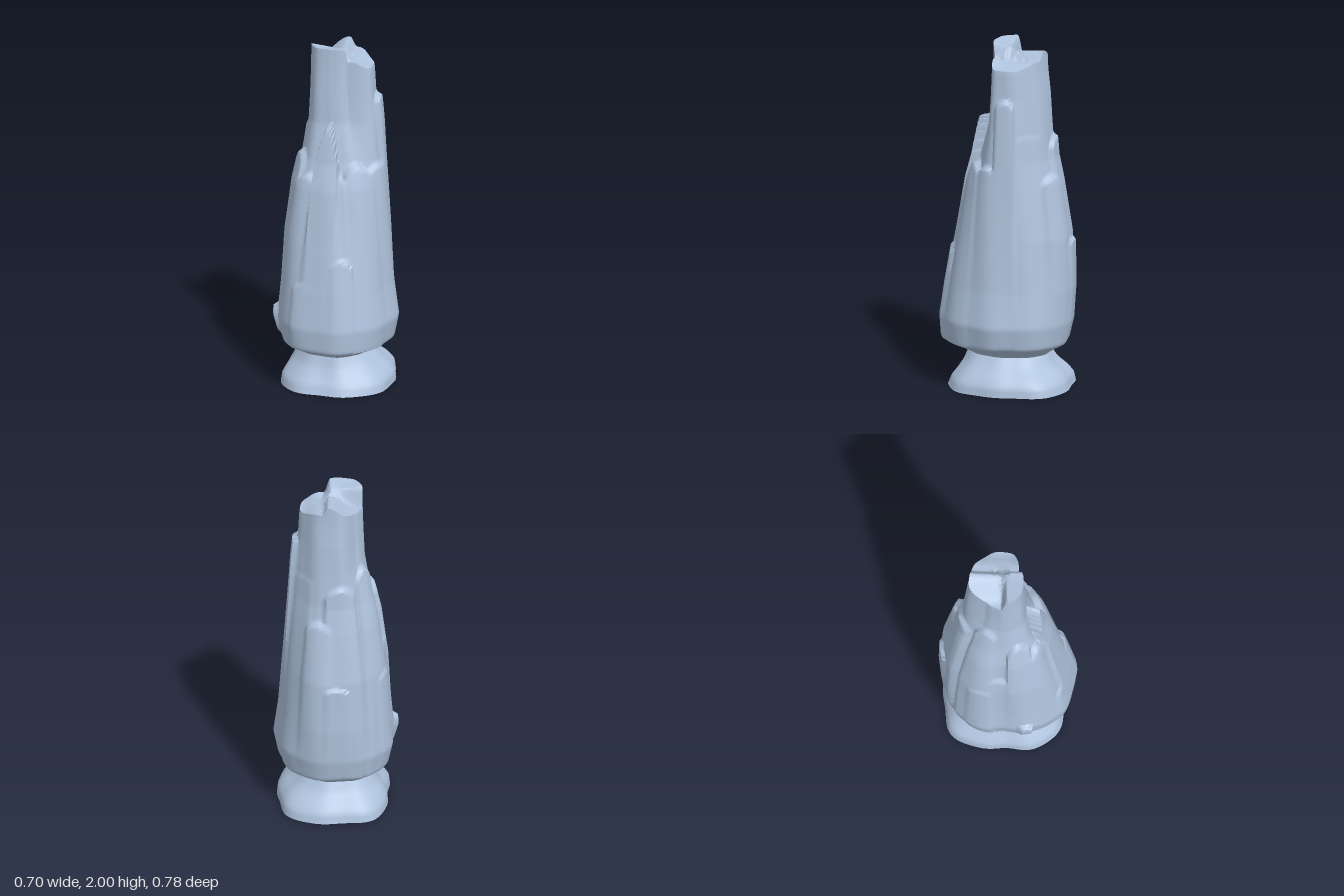
import * as THREE from 'three';
import { toCreasedNormals } from 'three/addons/utils/BufferGeometryUtils.js';

const SIDES = 120;
const NECK = 0.2;
const RIM = 1.86;
const lerp = THREE.MathUtils.lerp;
const smooth = THREE.MathUtils.smoothstep;

// Rock bounds by height: y, xMin, xMax, zMin, zMax
const BOUNDS = [
  [0, -0.3, 0.33, -0.36, 0.335],
  [0.05, -0.295, 0.325, -0.348, 0.315],
  [0.09, -0.275, 0.3, -0.32, 0.285],
  [0.14, -0.245, 0.25, -0.265, 0.255],
  [NECK, -0.225, 0.2, -0.23, 0.235],
  [0.23, -0.24, 0.24, -0.265, 0.29],
  [0.27, -0.285, 0.305, -0.32, 0.36],
  [0.4, -0.312, 0.33, -0.345, 0.362],
  [0.6, -0.292, 0.302, -0.35, 0.325],
  [0.9, -0.274, 0.28, -0.335, 0.26],
  [1.2, -0.232, 0.258, -0.285, 0.2],
  [1.35, -0.197, 0.247, -0.255, 0.155],
  [1.56, -0.163, 0.232, -0.24, 0.115],
  [1.72, -0.155, 0.215, -0.23, 0.108],
  [RIM, -0.15, 0.207, -0.215, 0.1],
];

// Raised slabs: angle, half width (degrees), bottom, top, offset at bottom, offset at top, drop at sides
const SLABS = [
  [97, 23, 0.24, 1.56, 0.024, 0.075, 0.24], // front peak
  [92, 32, 0.22, 1.3, 0.02, 0.045, 0.06], // front
  [48, 24, 0.23, 1.33, 0.02, 0.035, 0.06], // front, left side
  [128, 22, 0.22, 1.27, 0.02, 0.035, 0.07], // front, right side
  [112, 15, 0.24, 0.67, 0.026, 0.042, 0.05], // low front pieces
  [76, 13, 0.24, 0.82, 0.026, 0.055, 0.05],
  [160, 22, 0.24, 1.38, 0.016, 0.03, 0.08], // right flank
  [161, 8, 0.28, 0.46, 0.03, 0.048, 0.02],
  [188, 20, 0.24, 1.02, 0.014, 0.02, 0.04],
  [208, 16, 0.24, 0.9, 0.022, 0.03, 0.04], // back, with a notch between two tall slabs
  [216, 22, 0.23, 1.54, 0.016, 0.025, 0.07],
  [262, 24, 0.23, 1.47, 0.018, 0.026, 0.06],
  [268, 13, 0.25, 0.88, 0.022, 0.046, 0.02],
  [288, 18, 0.24, 1.26, 0.02, 0.035, 0.04],
  [318, 22, 0.24, 1.5, 0.02, 0.004, 0.02], // left flank
  [350, 16, 0.25, 1.71, 0.016, 0.032, 0.04],
  [14, 20, 0.24, 1.32, 0.018, 0.026, 0.05],
];

// Gentle repeatable unevenness around the rock
const uneven = (a, y) =>
  0.99 + 0.016 * Math.sin(5 * a + 1 + y) + 0.013 * Math.sin(9 * a + 2 - 2 * y);

// Share of rock left where the upper part is broken away around one angle
const chip = (a, y, centre, width, depth) =>
  1 - depth * smooth(y, 1.25, 1.75) * Math.max(0, 1 - Math.abs(a - centre) / width);

function boundsAt(y) {
  let i = 0;
  while (i < BOUNDS.length - 2 && y > BOUNDS[i + 1][0]) i++;
  const t = THREE.MathUtils.clamp((y - BOUNDS[i][0]) / (BOUNDS[i + 1][0] - BOUNDS[i][0]), 0, 1);
  return BOUNDS[i].map((v, k) => lerp(v, BOUNDS[i + 1][k], t));
}

// How far the slabs stand out at this angle and height
function slabRelief(a, y) {
  let relief = 0;
  for (const [angle, half, y0, y1, outB, outT, drop] of SLABS) {
    const t = THREE.MathUtils.clamp((y - y0) / (y1 - y0), 0, 1);
    const turn = ((THREE.MathUtils.radToDeg(a) - angle + 540) % 360) - 180;
    const u = Math.abs(turn) / (half * (1 - 0.12 * t));
    const top = y1 - drop * u * u;
    const sides = 1 - smooth(u, 0.82, 1.05);
    const ends = smooth(y, y0 - 0.02, y0 + 0.04) * (1 - smooth(y, top - 0.012, top + 0.012));
    relief = Math.max(relief, lerp(outB, outT, t) * sides * ends);
  }
  return relief;
}

// Point on the rock face, scaled toward the axis by s
function rockPoint(a, y, s) {
  const [, x0, x1, z0, z1] = boundsAt(y);
  const c = Math.cos(a), d = Math.sin(a);
  const rx = c > 0 ? x1 : -x0, rz = d > 0 ? z1 : -z0;
  const e = lerp(2.9, 2.25, smooth(y, 0.02, NECK));
  const r = Math.pow(Math.pow(Math.abs(c) / rx, e) + Math.pow(Math.abs(d) / rz, e), -1 / e);
  const broken = chip(a, y, 0.8, 0.6, 0.25) * chip(a, y, 3.95, 0.6, 0.15);
  const k = (r * uneven(a, y) * broken + slabRelief(a, y)) * s;
  return new THREE.Vector3(c * k, y, d * k);
}

const ring = (y, s = 1) =>
  Array.from({ length: SIDES }, (_, i) => rockPoint((i / SIDES) * Math.PI * 2, y, s));

const rings = (y0, y1, count) =>
  Array.from({ length: count + 1 }, (_, j) => ring(lerp(y0, y1, j / count)));

// Broken summit: front tooth, ridge sloping down to the back right, low left shoulder
function summitHeight(x, z) {
  const right = 1 - smooth(x, 0.035, 0.075);
  const tooth = smooth(z, -0.03, 0.005);
  const slope = lerp(1.88, 1.975, smooth(x, -0.13, 0.04));
  const shoulder = 1.92 - 0.04 * smooth(x, 0.1, 0.2);
  return lerp(shoulder, lerp(slope, 2, tooth), right);
}

// Skin through closed loops, inside to outside facing out
function loft(loops, crease) {
  const p = [];
  const tri = (...v) => v.forEach((q) => p.push(q.x, q.y, q.z));
  for (let j = 0; j < loops.length - 1; j++) {
    for (let i = 0; i < SIDES; i++) {
      const k = (i + 1) % SIDES, A = loops[j], B = loops[j + 1];
      tri(A[i], B[i], A[k]);
      tri(A[k], B[i], B[k]);
    }
  }
  const g = new THREE.BufferGeometry();
  g.setAttribute('position', new THREE.Float32BufferAttribute(p, 3));
  return toCreasedNormals(g, crease);
}

export function createModel() {
  const model = new THREE.Group();
  model.name = 'rockPillar';
  const stone = new THREE.MeshStandardMaterial({ color: 0xb0c4de, side: THREE.DoubleSide });
  stone.name = 'paleBlueStone';
  const add = (name, geometry) => {
    const mesh = new THREE.Mesh(geometry, stone);
    mesh.name = name;
    model.add(mesh);
  };

  // Flared foot, open underneath
  add('foot', loft(rings(0, NECK, 12), 0.9));

  // Hollow column with layered slabs, closed by the jagged summit
  const column = rings(NECK, RIM, 120);
  for (const s of [0.985, 0.9, 0.75, 0.6, 0.45, 0.3, 0.15, 0.002]) {
    const loop = ring(RIM, s);
    loop.forEach((v) => { v.y = summitHeight(v.x, v.z) - 0.02 * (1 - s); });
    column.push(loop);
  }
  add('column', loft(column, 0.8));
  return model;
}
